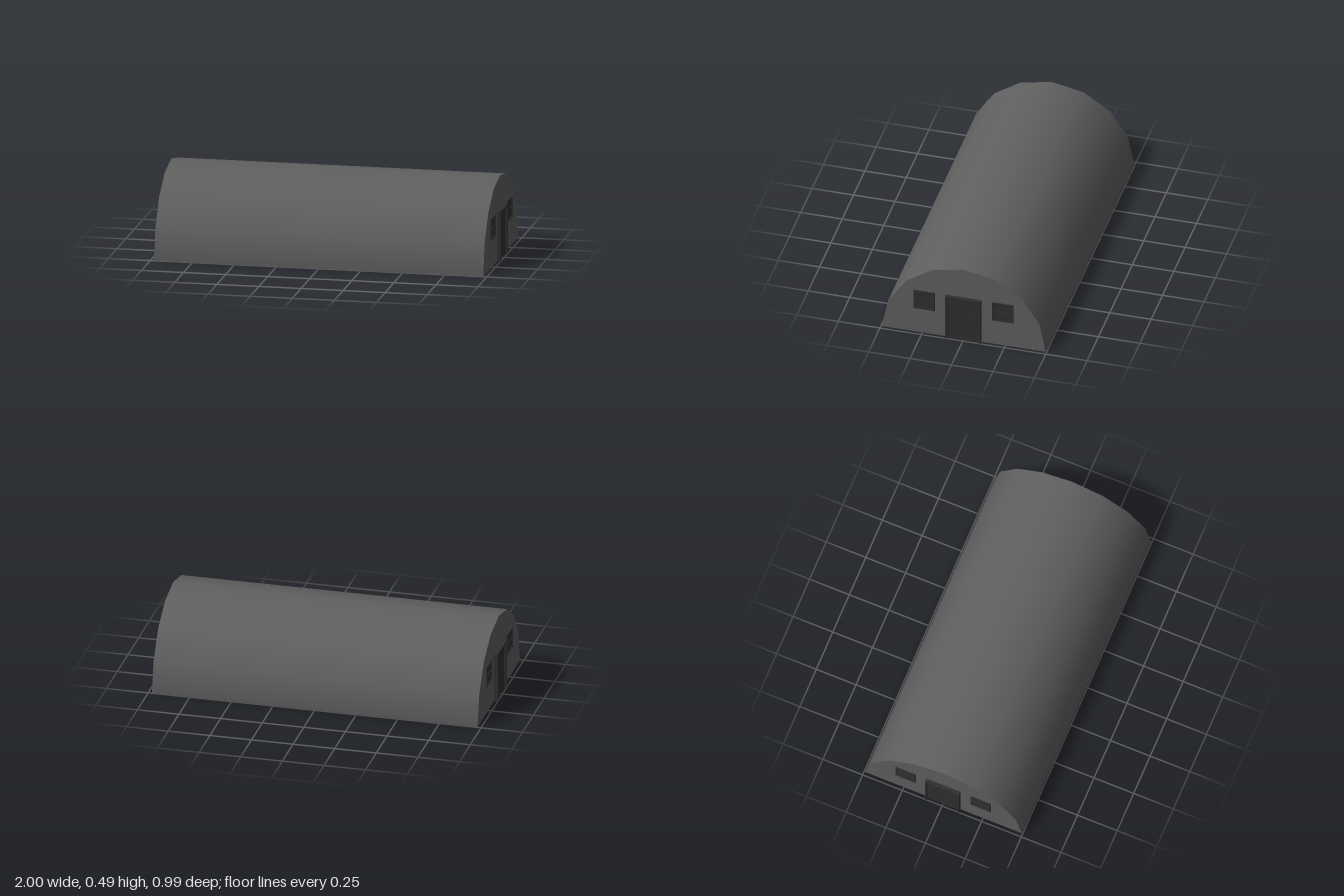
import * as THREE from 'three';

const R = 0.494, HALF = 0.978;

export function createModel() {
  const root = new THREE.Group();
  root.name = 'archedHut';

  const shellMat = new THREE.MeshStandardMaterial({ color: 0x606060 });
  shellMat.name = 'hutGrey';
  const trimMat = new THREE.MeshStandardMaterial({ color: 0x303030 });
  trimMat.name = 'fittingsDarkGrey';

  const add = (parent, name, geometry, material) => {
    const mesh = new THREE.Mesh(geometry, material);
    mesh.name = name;
    parent.add(mesh);
    return mesh;
  };
  // Box fixed to an end wall: depth outwards, then its y and z ranges
  const fitting = (parent, name, depth, y0, y1, z0, z1, base = 0) => {
    const box = new THREE.BoxGeometry(depth, y1 - y0, z1 - z0);
    box.translate(HALF + base + depth / 2, (y0 + y1) / 2, (z0 + z1) / 2);
    return add(parent, name, box, trimMat);
  };

  // Half-round roof, smooth along the arch, with flat end walls
  const shell = new THREE.CylinderGeometry(R, R, HALF * 2, 8, 1, false, 0, Math.PI);
  shell.rotateZ(Math.PI / 2);
  add(root, 'roofAndEndWalls', shell, shellMat);

  // Underside
  const floor = new THREE.PlaneGeometry(HALF * 2, R * 2);
  floor.rotateX(Math.PI / 2);
  add(root, 'floor', floor, shellMat);

  // Door and windows, the same at both ends
  for (const [name, turn] of [['leftEnd', 0], ['rightEnd', Math.PI]]) {
    const end = new THREE.Group();
    end.name = name;
    end.rotation.y = turn;
    root.add(end);

    // Door recessed between posts and a lintel
    fitting(end, 'door', 0.009, 0, 0.288, -0.097, 0.097);
    for (const s of [-1, 1]) {
      const z = s * 0.102;
      fitting(end, 'doorPost', 0.022, 0, 0.297, z - 0.006, z + 0.006);
    }
    fitting(end, 'doorLintel', 0.022, 0.287, 0.297, -0.096, 0.096);
    fitting(end, 'doorHandle', 0.008, 0.133, 0.172, -0.083, -0.076, 0.009);

    // Framed windows with a middle bar
    for (const s of [-1, 1]) {
      const win = new THREE.Group();
      win.name = 'window';
      end.add(win);
      const z = s * 0.237, w = 0.063, t = 0.008;
      fitting(win, 'windowPane', 0.003, 0.171, 0.296, z - w, z + w);
      for (const y of [0.171, 0.23, 0.288]) {
        fitting(win, 'windowBar', 0.008, y, y + t, z - w, z + w);
      }
      for (const side of [-1, 1]) {
        const c = z + side * (w - t / 2);
        fitting(win, 'windowSide', 0.008, 0.179, 0.288, c - t / 2, c + t / 2);
      }
    }
  }
  return root;
}
